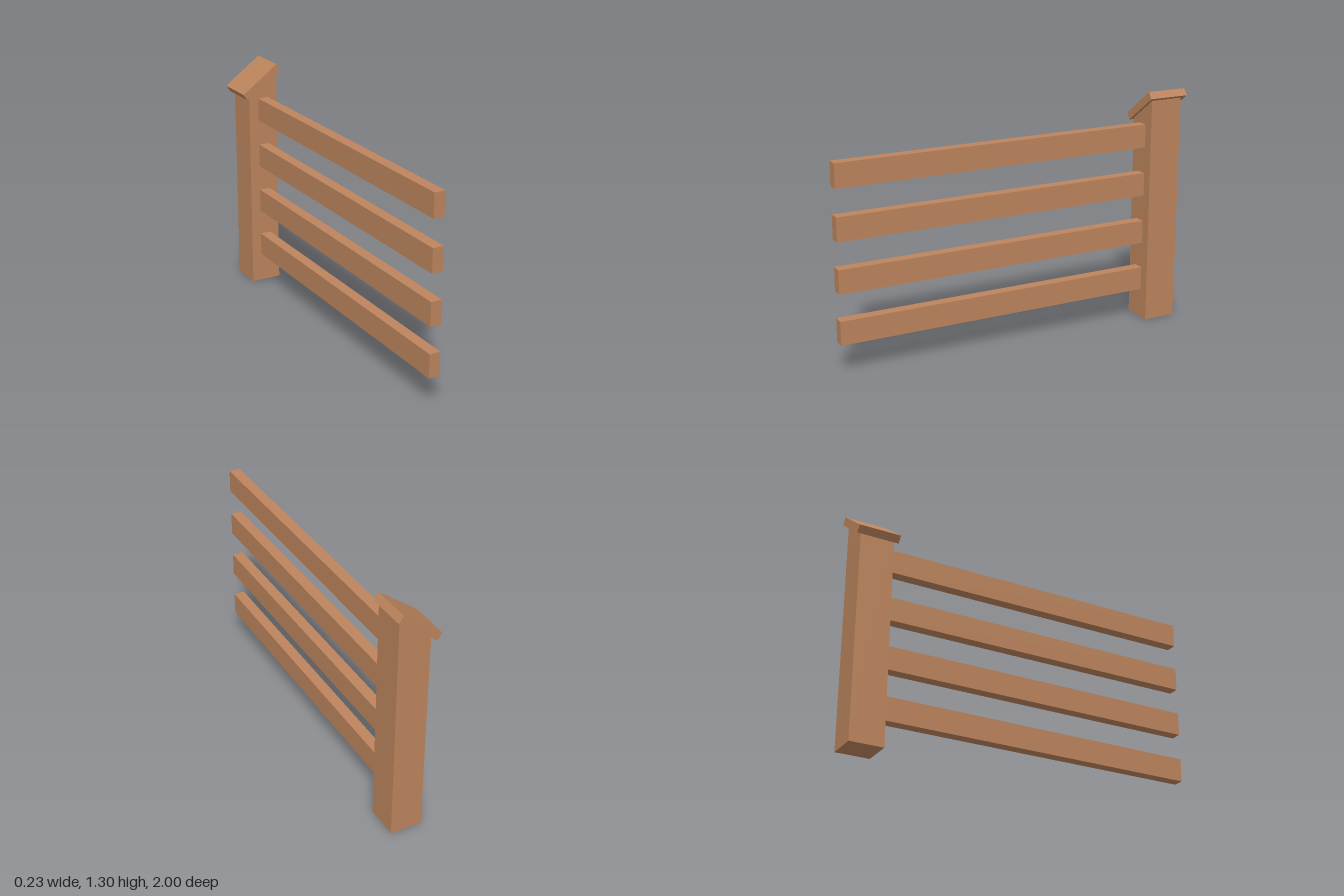
import * as THREE from 'three';

const wood = new THREE.MeshStandardMaterial({ color: 0xbc845c });

// Extrudes an outline in the xy plane from zBack to zFront
function prism(name, outline, zBack, zFront) {
  const shape = new THREE.Shape(outline.map(([x, y]) => new THREE.Vector2(x, y)));
  const geometry = new THREE.ExtrudeGeometry(shape, { depth: zFront - zBack, bevelEnabled: false });
  const mesh = new THREE.Mesh(geometry, wood);
  mesh.name = name;
  mesh.position.z = zBack;
  return mesh;
}

export function createModel() {
  const group = new THREE.Group();
  group.name = 'fenceSection';

  // Post with a slanted top
  group.add(prism('post', [[-0.075, 0], [0.098, 0], [0.098, 1.257], [-0.075, 1.131]], -0.975, -0.79));

  // Tilted cap board resting on the slant
  group.add(prism('postCap', [[-0.093, 1.118], [0.117, 1.27], [0.091, 1.305], [-0.118, 1.153]], -1, -0.772));

  // Four evenly spaced rails running forward from the post
  const railLength = 1.79;
  for (let i = 0; i < 4; i++) {
    const rail = new THREE.Mesh(new THREE.BoxGeometry(0.061, 0.129, railLength), wood);
    rail.name = `rail${i + 1}`;
    rail.position.set(0.012, 0.23 + i * 0.2737, 1 - railLength / 2);
    group.add(rail);
  }
  return group;
}
